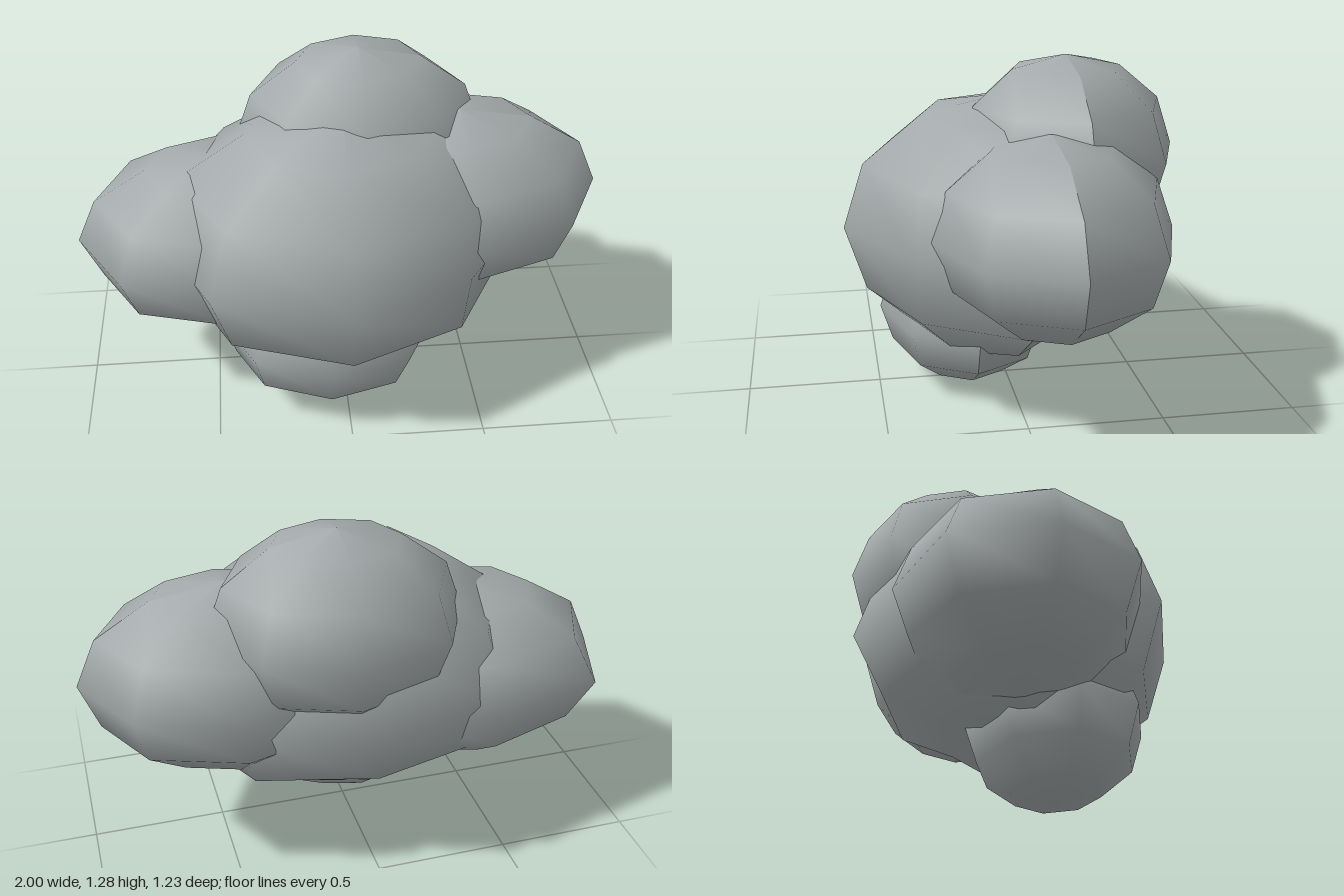
import * as THREE from 'three';

const stone = new THREE.MeshStandardMaterial({ color: 0xa3a9aa });
stone.name = 'stoneGrey';

// One boulder: an eight-sided ellipsoid, smooth except for its seam on +x.
// Each dent is [x, y, z, depth]: a unit direction to press in (or out if negative).
function boulder(name, centre, radii, tilt, dents = []) {
  const geometry = new THREE.SphereGeometry(1, 8, 6);
  geometry.rotateY(Math.PI);
  const position = geometry.attributes.position;
  const v = new THREE.Vector3();
  for (let i = 0; i < position.count; i++) {
    v.fromBufferAttribute(position, i);
    let scale = 1;
    for (const [x, y, z, depth] of dents) {
      scale -= depth * Math.max(0, v.x * x + v.y * y + v.z * z) ** 8;
    }
    v.multiplyScalar(scale);
    position.setXYZ(i, v.x, v.y, v.z);
  }
  geometry.scale(...radii);
  geometry.computeVertexNormals();
  const mesh = new THREE.Mesh(geometry, stone);
  mesh.name = name;
  mesh.position.set(...centre);
  mesh.rotation.set(...tilt);
  return mesh;
}

export function createModel() {
  const group = new THREE.Group();
  group.name = 'boulderCluster';
  group.add(
    // Core, pressed in at the front left and under the back
    boulder('coreBoulder', [0, 0.635, 0.01], [0.71, 0.49, 0.61], [0, 0, 0],
      [[0.707, 0, 0.707, 0.13], [0, -0.866, -0.5, 0.22]]),
    boulder('leftBoulder', [0.46, 0.72, -0.09], [0.54, 0.35, 0.425], [0.02, 0, 0.025]),
    // Right boulder, swelling out at the back corner
    boulder('rightBoulder', [-0.45, 0.6, -0.06], [0.55, 0.338, 0.44], [0, 0.04, 0],
      [[-0.707, 0, -0.707, -0.08]]),
    boulder('topBoulder', [0.085, 0.93, -0.215], [0.47, 0.35, 0.4], [0.02, 0, 0.01]),
    boulder('bottomBoulder', [-0.065, 0.288, 0.15], [0.41, 0.286, 0.335], [0, 0, -0.05]),
  );
  return group;
}
